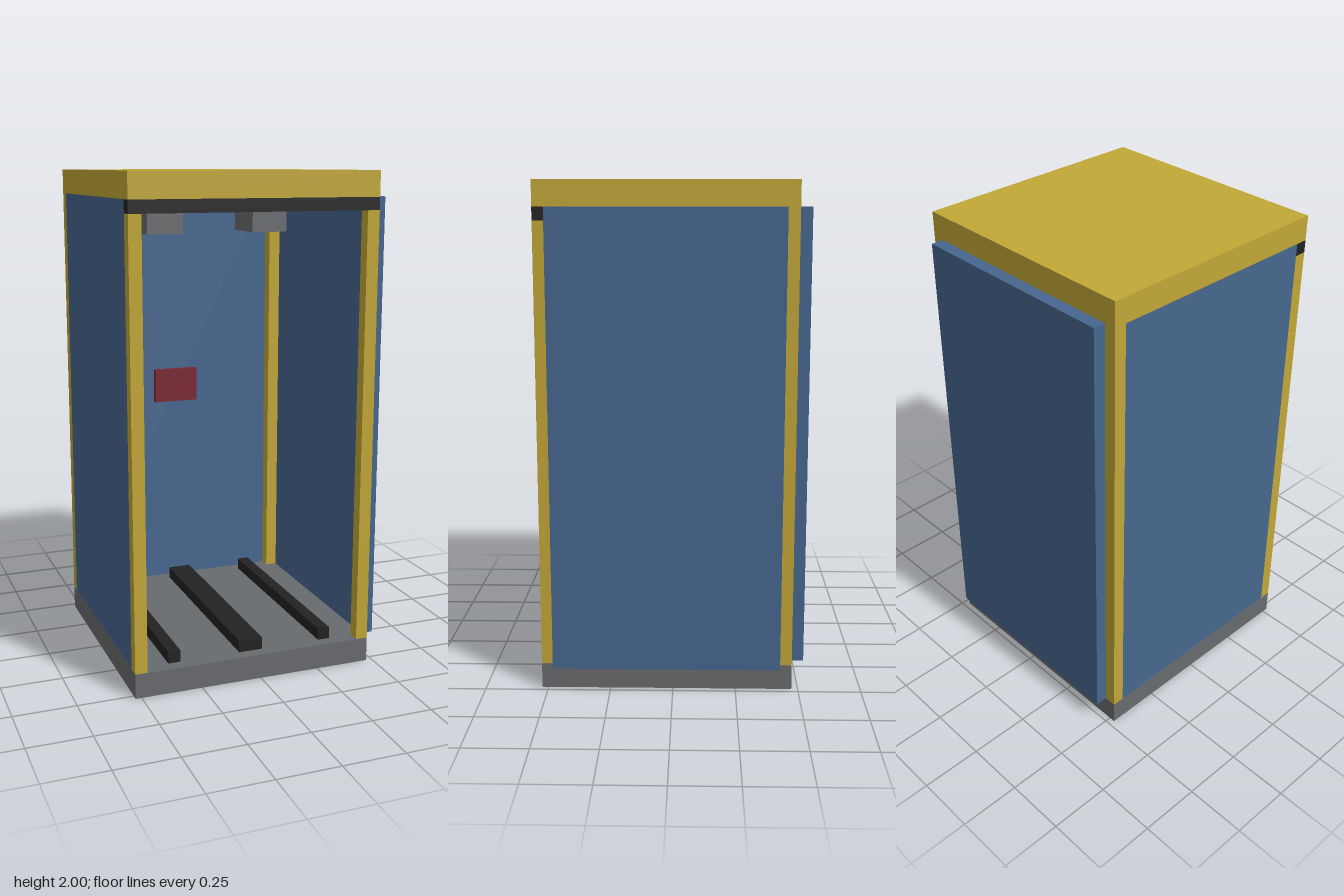
import * as THREE from 'three';

const paint = (name, color, extra = {}) => {
  const m = new THREE.MeshStandardMaterial({ color, ...extra });
  m.name = name;
  return m;
};

export function createModel() {
  const yellow = paint('yellow frame', 0xc2a737);
  const blue = paint('blue panel', 0x47678f);
  const grey = paint('grey metal', 0x686b6e, { side: THREE.DoubleSide });
  const black = paint('black trim', 0x222222);
  const red = paint('red plate', 0x7a2530);

  const model = new THREE.Group();
  model.name = 'booth';

  // Box given by its minimum and maximum corners
  const box = (name, mat, [x0, y0, z0], [x1, y1, z1]) => {
    const geo = new THREE.BoxGeometry(x1 - x0, y1 - y0, z1 - z0);
    const mesh = new THREE.Mesh(geo, mat);
    mesh.position.set((x0 + x1) / 2, (y0 + y1) / 2, (z0 + z1) / 2);
    mesh.name = name;
    model.add(mesh);
    return mesh;
  };

  const floorY = 0.101; // a hair above the floor sheet

  // Base tray, open underneath: drop the bottom face (fourth side of the box)
  const base = box('base', grey, [-0.525, 0, -0.475], [0.475, 0.1, 0.525]);
  const index = Array.from(base.geometry.index.array);
  index.splice(18, 6);
  base.geometry.setIndex(index);
  base.geometry.clearGroups();

  // Roof slab and the dark lintel over the open front
  box('roof', yellow, [-0.525, 1.9, -0.475], [0.475, 2, 0.525]);
  box('lintel', black, [-0.525, 1.85, 0.475], [0.475, 1.9, 0.525]);

  // Corner posts
  for (const x of [-0.525, 0.425]) {
    box('frontPost', yellow, [x, floorY, 0.475], [x + 0.05, 1.85, 0.525]);
    box('backPost', yellow, [x, floorY, -0.475], [x + 0.05, 1.9, -0.425]);
  }

  // Wall panels: right one flush, left and back ones mounted outside
  box('rightPanel', blue, [-0.525, floorY, -0.425], [-0.475, 1.9, 0.475]);
  box('leftPanel', blue, [0.475, 0.1, -0.425], [0.525, 1.9, 0.475]);
  box('backPanel', blue, [-0.475, 0.1, -0.525], [0.425, 1.9, -0.475]);

  // Floor rails running front to back
  for (const [x, w] of [[-0.35, 0.05], [-0.025, 0.1], [0.3, 0.05]]) {
    box('floorRail', black, [x - w / 2, floorY, -0.425], [x + w / 2, 0.15, 0.475]);
  }

  // Ceiling fittings
  for (const x of [-0.25, 0.2]) {
    box('ceilingFitting', grey, [x - 0.075, 1.75, -0.1], [x + 0.075, 1.9, 0.1]);
  }

  // Red plate on the inside of the back wall
  box('wallPlate', red, [-0.125, 0.95, -0.475], [0.075, 1.1, -0.45]);

  return model;
}
